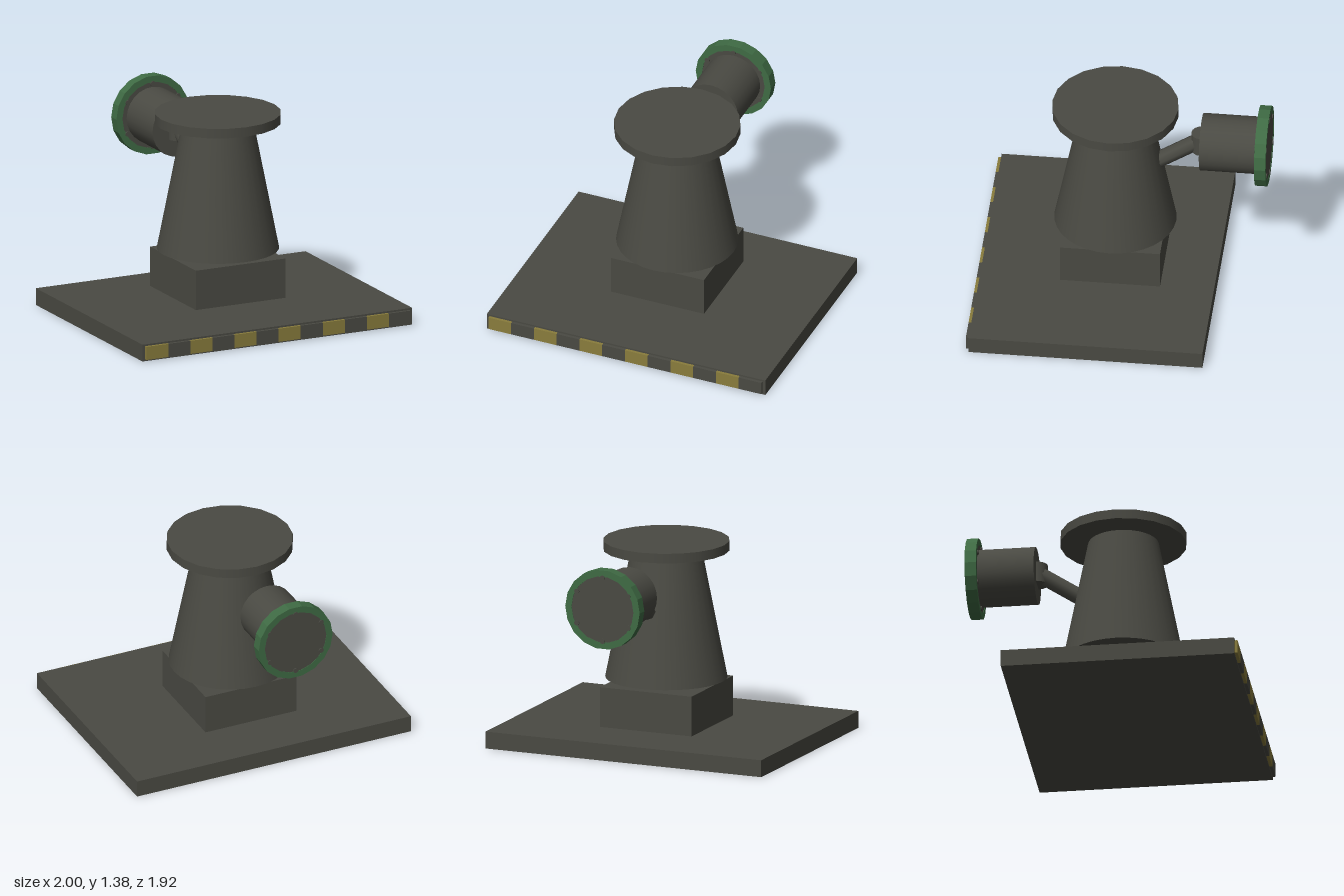
import * as THREE from 'three';

const mat = (name, color) => {
  const m = new THREE.MeshStandardMaterial({ color });
  m.name = name;
  return m;
};

export function createModel() {
  const model = new THREE.Group();
  const grey = mat('dark grey', 0x4a4a43);
  const yellow = mat('hazard yellow', 0x897c3c);
  const green = mat('flange green', 0x3f6b44);

  const add = (name, geometry, material, x, y, z, parent = model) => {
    const mesh = new THREE.Mesh(geometry, material);
    mesh.name = name;
    mesh.position.set(x, y, z);
    parent.add(mesh);
    return mesh;
  };

  // Base slab with alternating hazard blocks along its front edge
  add('baseSlab', new THREE.BoxGeometry(2, 0.115, 1.556), grey, 0, 0.0575, 0.159);
  const blocks = 12, blockWidth = 1.96 / blocks;
  for (let i = 0; i < blocks; i++) {
    add(i % 2 ? 'darkBlock' : 'yellowBlock', new THREE.BoxGeometry(blockWidth, 0.09, 0.02),
      i % 2 ? grey : yellow, -0.98 + (i + 0.5) * blockWidth, 0.058, 0.947);
  }

  // Pedestal, tapered tower and top plate, each separated by a small gap
  const cz = 0.07;
  add('pedestal', new THREE.BoxGeometry(0.666, 0.27, 0.666), grey, 0, 0.27, cz);
  add('tower', new THREE.CylinderGeometry(0.235, 0.405, 0.865, 32), grey, 0, 0.8725, cz);
  add('topPlate', new THREE.CylinderGeometry(0.42, 0.42, 0.065, 20), grey, 0, 1.3375, cz);

  // Sloping arm from the tower up to a short upright pivot
  const from = new THREE.Vector3(0, 0.92, -0.19), to = new THREE.Vector3(0, 1.125, -0.497);
  const along = to.clone().sub(from);
  const mid = from.clone().add(to).multiplyScalar(0.5);
  const arm = add('arm', new THREE.CylinderGeometry(0.056, 0.056, along.length(), 8), grey, mid.x, mid.y, mid.z);
  arm.quaternion.setFromUnitVectors(new THREE.Vector3(0, 1, 0), along.normalize());
  add('pivot', new THREE.CylinderGeometry(0.07, 0.07, 0.14, 16), grey, 0, 1.115, -0.505);

  // Drum unit, its axis running front to back
  const drum = new THREE.Group();
  drum.name = 'drumUnit';
  drum.position.set(0, 1.113, 0);
  model.add(drum);
  const disc = (name, radius, z0, z1, sides) => add(name,
    new THREE.CylinderGeometry(radius, radius, z1 - z0, sides).rotateX(Math.PI / 2),
    grey, 0, 0, (z0 + z1) / 2, drum);
  disc('drum', 0.192, -0.89, -0.505, 24);
  disc('endPlate', 0.23, -0.953, -0.883, 18);

  // Green ring around the end plate
  const polygon = (Type, radius) => {
    const points = [];
    for (let i = 0; i < 18; i++) {
      const a = i / 18 * Math.PI * 2;
      points.push(new THREE.Vector2(Math.cos(a) * radius, Math.sin(a) * radius));
    }
    return new Type(points);
  };
  const ringShape = polygon(THREE.Shape, 0.27);
  ringShape.holes.push(polygon(THREE.Path, 0.225));
  add('flangeRing', new THREE.ExtrudeGeometry(ringShape, { depth: 0.076, bevelEnabled: false }),
    green, 0, 0, -0.956, drum);

  // Six through bolts
  for (let i = 0; i < 6; i++) {
    const a = Math.PI / 6 + i * Math.PI / 3;
    const bolt = disc('bolt', 0.018, -0.96, -0.873, 8);
    bolt.position.x = Math.cos(a) * 0.215;
    bolt.position.y = Math.sin(a) * 0.215;
  }
  return model;
}
